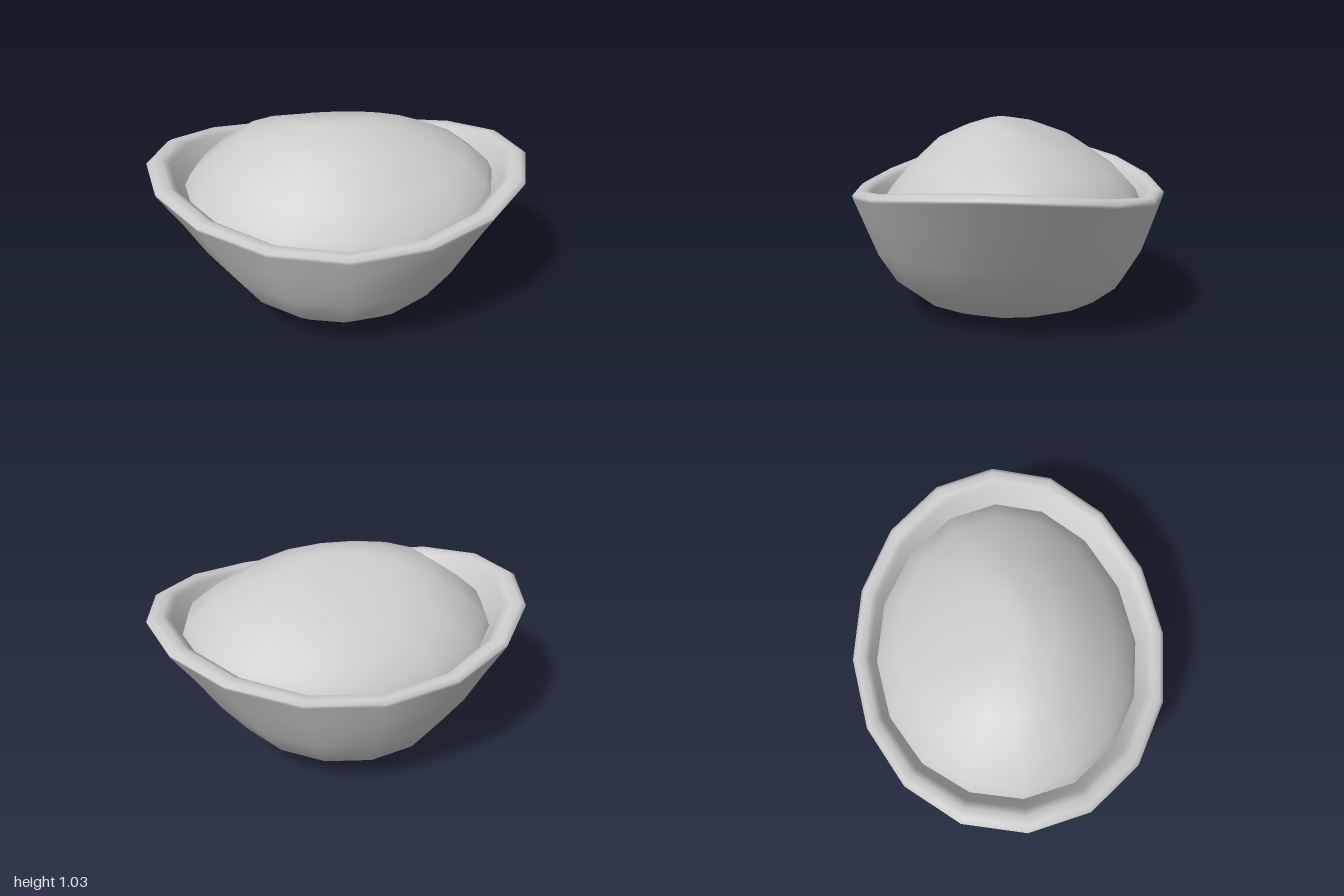
import * as THREE from 'three';
import { mergeVertices } from 'three/addons/utils/BufferGeometryUtils.js';

const SIDES = 16;

// Each ring: radii and heights toward [right(+x), front(+z), left(-x), back(-z)], plus a z shift.
function loft(rings) {
  const pos = [], index = [];
  rings.forEach(({ r, y, cz = 0 }) => {
    for (let i = 0; i < SIDES; i++) {
      const a = (i / SIDES) * Math.PI * 2, c = Math.cos(a), s = Math.sin(a);
      const h = c > 0 ? 0 : 2, v = s > 0 ? 1 : 3;
      pos.push(c * r[h], y[h] * c * c + y[v] * s * s, cz + s * r[v]);
    }
  });
  for (let k = 0; k < rings.length - 1; k++) {
    for (let i = 0; i < SIDES; i++) {
      const j = (i + 1) % SIDES, a = k * SIDES + i, b = k * SIDES + j;
      const c = a + SIDES, d = b + SIDES;
      if (rings[k].r[0] > 0) index.push(a, c, b);
      if (rings[k + 1].r[0] > 0) index.push(b, c, d);
    }
  }
  const flat = new THREE.BufferGeometry();
  flat.setAttribute('position', new THREE.Float32BufferAttribute(pos, 3));
  flat.setIndex(index);
  const geo = mergeVertices(flat, 1e-4);
  geo.computeVertexNormals();
  return geo;
}

// Symmetric ring: side radius, front radius, side height, front height.
const oval = ([rx, rz, yx, yz]) => ({ r: [rx, rz, rx, rz], y: [yx, yz, yx, yz] });

export function createModel() {
  const group = new THREE.Group();
  const material = new THREE.MeshStandardMaterial({ color: 0xcccccc });
  const add = (name, geometry) => {
    const mesh = new THREE.Mesh(geometry, material);
    mesh.name = name;
    group.add(mesh);
  };

  // Oval bowl: outside, rounded rim that rises at both ends, then inside
  add('bowl', loft([
    [0, 0, 0, 0],
    [0.16, 0.2, 0, 0],
    [0.31, 0.34, 0.03, 0.03],
    [0.47, 0.5, 0.09, 0.09],
    [0.6, 0.62, 0.21, 0.18],
    [0.75, 0.71, 0.41, 0.33],
    [0.87, 0.77, 0.6, 0.5],
    [0.995, 0.815, 0.775, 0.635],
    [1, 0.82, 0.79, 0.655],
    [0.97, 0.8, 0.808, 0.672],
    [0.92, 0.76, 0.808, 0.672],
    [0.88, 0.73, 0.785, 0.65],
    [0.8, 0.67, 0.64, 0.54],
    [0.66, 0.62, 0.42, 0.36],
    [0.42, 0.44, 0.17, 0.17],
    [0, 0, 0.1, 0.1],
  ].map(oval)));

  // Lopsided mound of filling, steeper at the front and the left
  add('filling', loft([
    { r: [0.84, 0.69, 0.82, 0.71], y: [0.66, 0.55, 0.64, 0.58] },
    { r: [0.8, 0.65, 0.78, 0.67], y: [0.75, 0.65, 0.72, 0.67] },
    { r: [0.67, 0.55, 0.66, 0.58], y: [0.85, 0.77, 0.83, 0.76] },
    { r: [0.5, 0.38, 0.48, 0.4], y: [0.93, 0.93, 0.96, 0.88] },
    { r: [0.32, 0.25, 0.31, 0.2], y: [0.995, 0.99, 1.0, 0.97] },
    { r: [0.15, 0.09, 0.15, 0.09], y: [1.028, 1.025, 1.028, 1.015], cz: 0.05 },
    { r: [0, 0, 0, 0], y: [1.034, 1.034, 1.034, 1.034], cz: 0.06 },
  ]));

  return group;
}
